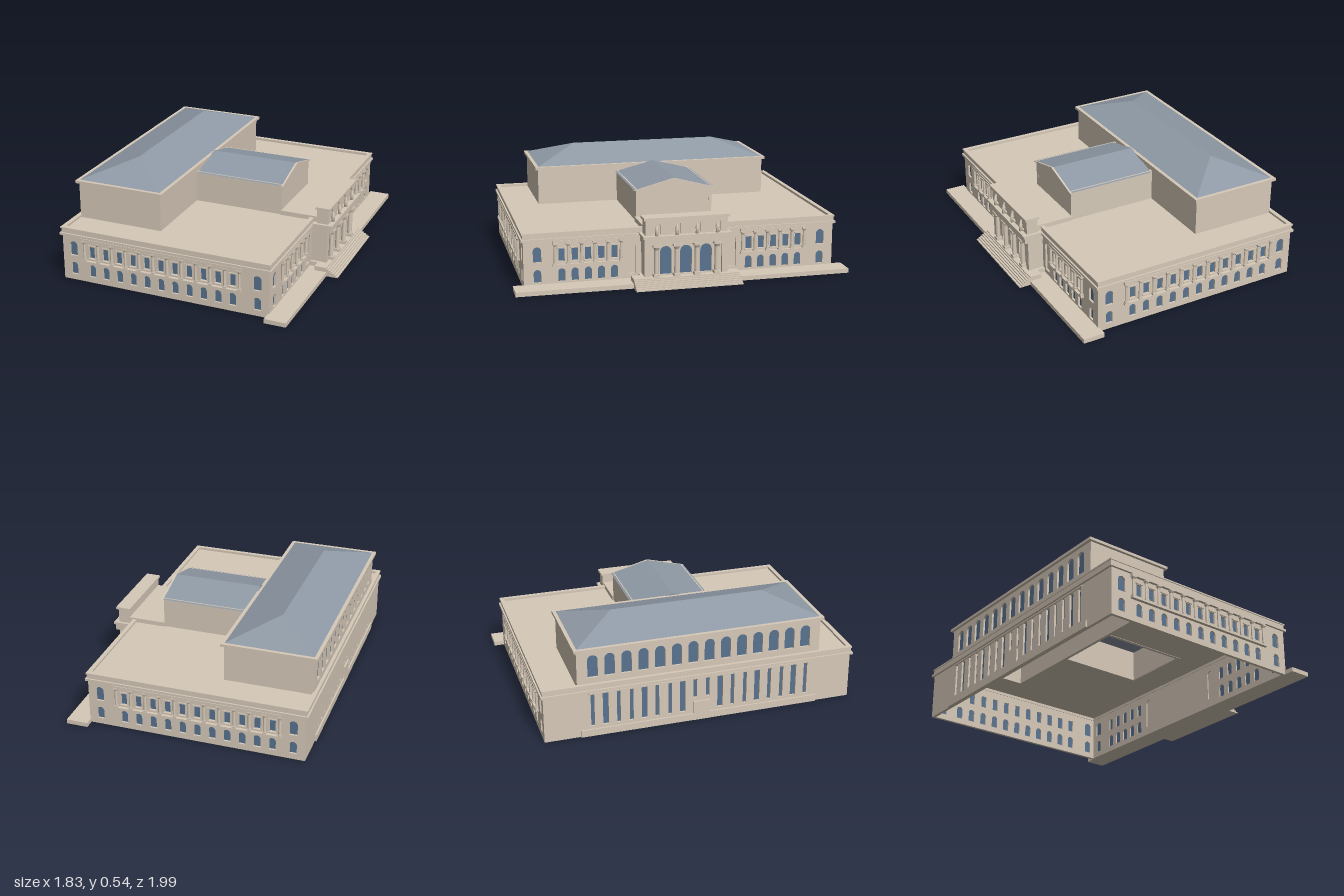
import * as THREE from 'three';
import { ConvexGeometry } from 'three/addons/geometries/ConvexGeometry.js';
import { mergeGeometries } from 'three/addons/utils/BufferGeometryUtils.js';

const mat = (color) => new THREE.MeshStandardMaterial({ color, side: THREE.DoubleSide });
const stone = mat(0xd6c9b8), slate = mat(0x8f9aa6), glass = mat(0x587390);

function add(parent, name, geo, material = stone) {
  const mesh = new THREE.Mesh(geo, material);
  mesh.name = name;
  parent.add(mesh);
  return mesh;
}

// Box given by its limits on each axis
function block(parent, name, x0, x1, y0, y1, z0, z1, material) {
  const geo = new THREE.BoxGeometry(x1 - x0, y1 - y0, z1 - z0);
  geo.translate((x0 + x1) / 2, (y0 + y1) / 2, (z0 + z1) / 2);
  return add(parent, name, geo, material);
}

const rect = (C, x0, x1, y0, y1) => new C([[x0, y0], [x1, y0], [x1, y1], [x0, y1]].map((p) => new THREE.Vector2(...p)));

// Window outline, optionally with a round head
function outline(C, { x, y, w, h, arch }) {
  const r = w / 2;
  if (!arch) return rect(C, x - r, x + r, y, y + h);
  const s = new C();
  s.moveTo(x - r, y);
  s.lineTo(x + r, y);
  s.lineTo(x + r, y + h - r);
  s.absarc(x, y + h - r, r, 0, Math.PI, false);
  s.lineTo(x - r, y);
  return s;
}

// Upright wall with pierced openings and set-back panes; +z is its outside
function wall(parent, name, width, y0, y1, openings, x, z, turn) {
  const g = new THREE.Group();
  g.name = name;
  g.position.set(x, 0, z);
  g.rotation.y = turn;
  const s = rect(THREE.Shape, -width / 2, width / 2, y0, y1);
  s.holes = openings.map((o) => outline(THREE.Path, o));
  const geo = new THREE.ExtrudeGeometry(s, { depth: 0.016, bevelEnabled: false, curveSegments: 8 });
  add(g, 'wallFace', geo.translate(0, 0, -0.016));
  for (const [part, blind, m] of [['windowPanes', false, glass], ['nicheBacks', true, stone]]) {
    const list = openings.filter((o) => !!o.blind === blind);
    if (list.length) add(g, part, new THREE.ShapeGeometry(list.map((o) => outline(THREE.Shape, o)), 8).translate(0, 0, -0.01), m);
  }
  parent.add(g);
  return g;
}

// Rectangular ring around the plan, such as a cornice
function ring(parent, name, x0, x1, z0, z1, y0, y1, t) {
  const s = rect(THREE.Shape, x0, x1, -z1, -z0);
  s.holes = [rect(THREE.Path, x0 + t, x1 - t, -z1 + t, -z0 - t)];
  const geo = new THREE.ExtrudeGeometry(s, { depth: y1 - y0, bevelEnabled: false });
  return add(parent, name, geo.rotateX(-Math.PI / 2).translate(0, y0, 0));
}

// Column with base and capital
function columns(parent, name, xs, y0, y1, z, r) {
  const h = y1 - y0, c = r * 1.2;
  const parts = xs.flatMap((x) => [
    new THREE.CylinderGeometry(r * 0.85, r, h, 10).translate(x, (y0 + y1) / 2, z),
    new THREE.BoxGeometry(r * 2.5, c, r * 2.5).translate(x, y0 + c / 2, z),
    new THREE.CylinderGeometry(r * 1.4, r * 0.85, c, 10).translate(x, y1 - c * 1.3, z),
    new THREE.BoxGeometry(r * 3, c * 0.8, r * 3).translate(x, y1 - c * 0.4, z)]);
  add(parent, name, mergeGeometries(parts));
}

const row = (n, step, centre = 0) => Array.from({ length: n }, (_, i) => centre + (i - (n - 1) / 2) * step);
const bays = (xs) => xs.flatMap((x) => [
  { x, y: 0.13, w: 0.03, h: 0.062 },
  { x, y: 0.03, w: 0.034, h: 0.064, arch: true }]);
const endBays = (d) => [-d, d].flatMap((x) => [
  { x, y: 0.13, w: 0.04, h: 0.075, arch: true },
  { x, y: 0.03, w: 0.036, h: 0.064, arch: true }]);

// Columns, sills and frieze in front of a run of bays
function colonnade(g, n, step, centre) {
  const half = (n * step) / 2 + 0.012;
  columns(g, 'bayColumns', row(n + 1, step, centre), 0.118, 0.222, 0.006, 0.0075);
  block(g, 'columnLedge', centre - half, centre + half, 0.108, 0.118, -0.002, 0.016);
  block(g, 'frieze', centre - half, centre + half, 0.222, 0.234, -0.002, 0.014);
  for (const x of row(n, step, centre)) {
    block(g, 'windowSill', x - 0.02, x + 0.02, 0.124, 0.13, -0.002, 0.005);
    block(g, 'windowHood', x - 0.02, x + 0.02, 0.194, 0.2, -0.002, 0.005);
  }
}

export function createModel() {
  const model = new THREE.Group();
  const b = new THREE.Group();
  b.name = 'building';
  b.rotation.y = 1.068;
  b.position.set(-0.05, 0, -0.045);
  model.add(b);
  const W = 0.776, D = 0.541, Q = Math.PI / 2;

  // Front wall with two wings
  const front = wall(b, 'frontWall', W * 2, 0, 0.25, [
    ...bays([...row(5, 0.064, -0.465), ...row(5, 0.064, 0.465)]), ...endBays(0.71),
    ...[-0.252, 0.252].map((x) => ({ x, y: 0.045, w: 0.04, h: 0.155, arch: true, blind: true }))], 0, D, 0);
  for (const s of [-1, 1]) colonnade(front, 5, 0.064, s * 0.465);

  // Side walls
  for (const s of [-1, 1]) {
    const c = s * 0.012 * -1 * -1;
    const open = [...bays(row(11, 0.074, c)), ...endBays(0.482)];
    colonnade(wall(b, 'sideWall', D * 2, 0, 0.25, open, s * W, 0, s * Q), 11, 0.074, c);
  }

  // Back wall with tall slit windows
  const slits = row(18, 0.0635).map((x, i) => ({ x, y: Math.abs(x) < 0.05 ? 0.12 : 0.05, w: i % 3 === 1 ? 0.028 : 0.018, h: Math.abs(x) < 0.05 ? 0.1 : 0.17 }));
  const back = wall(b, 'backWall', W * 2, 0, 0.25, slits, 0, -D, Math.PI);
  block(back, 'backPlinth', -0.6, 0.6, 0, 0.035, -0.002, 0.008);
  block(back, 'backDoorSurround', -0.04, 0.04, 0, 0.1, -0.002, 0.009);
  block(back, 'backLintel', -0.56, 0.56, 0.222, 0.23, -0.002, 0.006);

  // Cornice, parapet and flat roof, open under the raised halls
  ring(b, 'cornice', -0.787, 0.787, -0.552, 0.552, 0.234, 0.246, 0.03);
  ring(b, 'parapet', -0.779, 0.779, -0.544, 0.544, 0.246, 0.27, 0.014);
  ring(b, 'parapetCap', -0.783, 0.783, -0.548, 0.548, 0.268, 0.275, 0.022);
  const deck = rect(THREE.Shape, -0.77, 0.77, -0.535, 0.535);
  deck.holes = [new THREE.Path([[-0.6, 0.515], [-0.6, 0.1], [-0.18, 0.1], [-0.18, -0.355], [0.18, -0.355],
    [0.18, 0.1], [0.6, 0.1], [0.6, 0.515]].map((p) => new THREE.Vector2(...p)))];
  add(b, 'flatRoof', new THREE.ExtrudeGeometry(deck, { depth: 0.008, bevelEnabled: false }).rotateX(-Q).translate(0, 0.252, 0));

  // Tall rear hall with arched windows and a hipped roof
  const arches = row(14, 0.082).map((x) => ({ x, y: 0.305, w: 0.05, h: 0.115, arch: true }));
  wall(b, 'hallBackWall', 1.22, 0.25, 0.45, arches, 0, -0.532, Math.PI);
  wall(b, 'hallFrontWall', 1.22, 0.25, 0.45, [], 0, -0.09, 0);
  for (const s of [-1, 1]) wall(b, 'hallEndWall', 0.442, 0.25, 0.45, [], s * 0.61, -0.311, s * Q);
  ring(b, 'hallCornice', -0.624, 0.624, -0.546, -0.076, 0.444, 0.458, 0.04);
  const hip = [[-0.385, 0.535, -0.313], [0.385, 0.535, -0.313]];
  for (const x of [-0.612, 0.612]) for (const z of [-0.534, -0.088]) hip.push([x, 0.456, z]);
  add(b, 'hallRoof', new ConvexGeometry(hip.map((p) => new THREE.Vector3(...p))), slate);

  // Gabled middle hall
  for (const s of [-1, 1]) wall(b, 'gableSideWall', 0.465, 0.25, 0.42, [], s * 0.193, 0.142, s * Q);
  wall(b, 'gableFrontWall', 0.386, 0.25, 0.42, [], 0, 0.374, 0);
  const tri = (w, y0, y1) => new THREE.Shape([[-w, y0], [w, y0], [0, y1]].map((p) => new THREE.Vector2(...p)));
  add(b, 'gableRoof', new THREE.ExtrudeGeometry(tri(0.203, 0.416, 0.468), { depth: 0.455, bevelEnabled: false }).translate(0, 0, -0.08), slate);
  add(b, 'pediment', new THREE.ExtrudeGeometry(tri(0.205, 0.415, 0.469), { depth: 0.01, bevelEnabled: false }).translate(0, 0, 0.374));

  // Entrance porch
  const porchX = row(4, 0.1);
  block(b, 'porchFloor', -0.22, 0.22, 0, 0.045, 0.53, 0.645);
  const doors = row(3, 0.1).map((x) => ({ x, y: 0.05, w: 0.058, h: 0.14, arch: true }));
  wall(b, 'porchFrontWall', 0.41, 0.04, 0.21, doors, 0, 0.61, 0);
  for (const s of [-1, 1]) {
    wall(b, 'porchSideWall', 0.075, 0.04, 0.21, [], s * 0.205, 0.573, s * Q);
    block(b, 'porchCornerPier', s * 0.192 - 0.015, s * 0.192 + 0.015, 0.045, 0.205, 0.6, 0.622);
  }
  columns(b, 'porchColumns', porchX, 0.045, 0.206, 0.626, 0.0125);
  block(b, 'porchEntablature', -0.211, 0.211, 0.205, 0.24, 0.535, 0.64);
  block(b, 'porchCornice', -0.218, 0.218, 0.238, 0.25, 0.535, 0.648);
  block(b, 'porchRoof', -0.2, 0.2, 0.255, 0.283, 0.37, 0.57);

  // Attic with niches and figures above the columns
  block(b, 'atticCore', -0.203, 0.203, 0.25, 0.326, 0.565, 0.608);
  const niches = porchX.map((x) => ({ x, y: 0.255, w: 0.04, h: 0.058, arch: true, blind: true }));
  wall(b, 'atticFront', 0.406, 0.25, 0.326, niches, 0, 0.624, 0);
  block(b, 'atticCornice', -0.212, 0.212, 0.325, 0.337, 0.558, 0.634);
  const profile = [[0, 0], [0.009, 0], [0.008, 0.02], [0.01, 0.034], [0.004, 0.039], [0.006, 0.045], [0, 0.051]]
    .map((p) => new THREE.Vector2(...p));
  for (const x of porchX) add(b, 'porchFigure', new THREE.LatheGeometry(profile, 8)).position.set(x, 0.25, 0.632);

  // Terrace and entrance steps
  for (const s of [-1, 1]) block(b, 'terrace', Math.min(s * 0.2, s * 0.828), Math.max(s * 0.2, s * 0.828), 0, 0.022, 0.535, 0.643);
  for (let i = 0; i < 7; i++) block(b, 'step', -0.264, 0.264, i * 0.0064, (i + 1) * 0.0064, 0.58, 0.702 - i * 0.01);

  return model;
}
